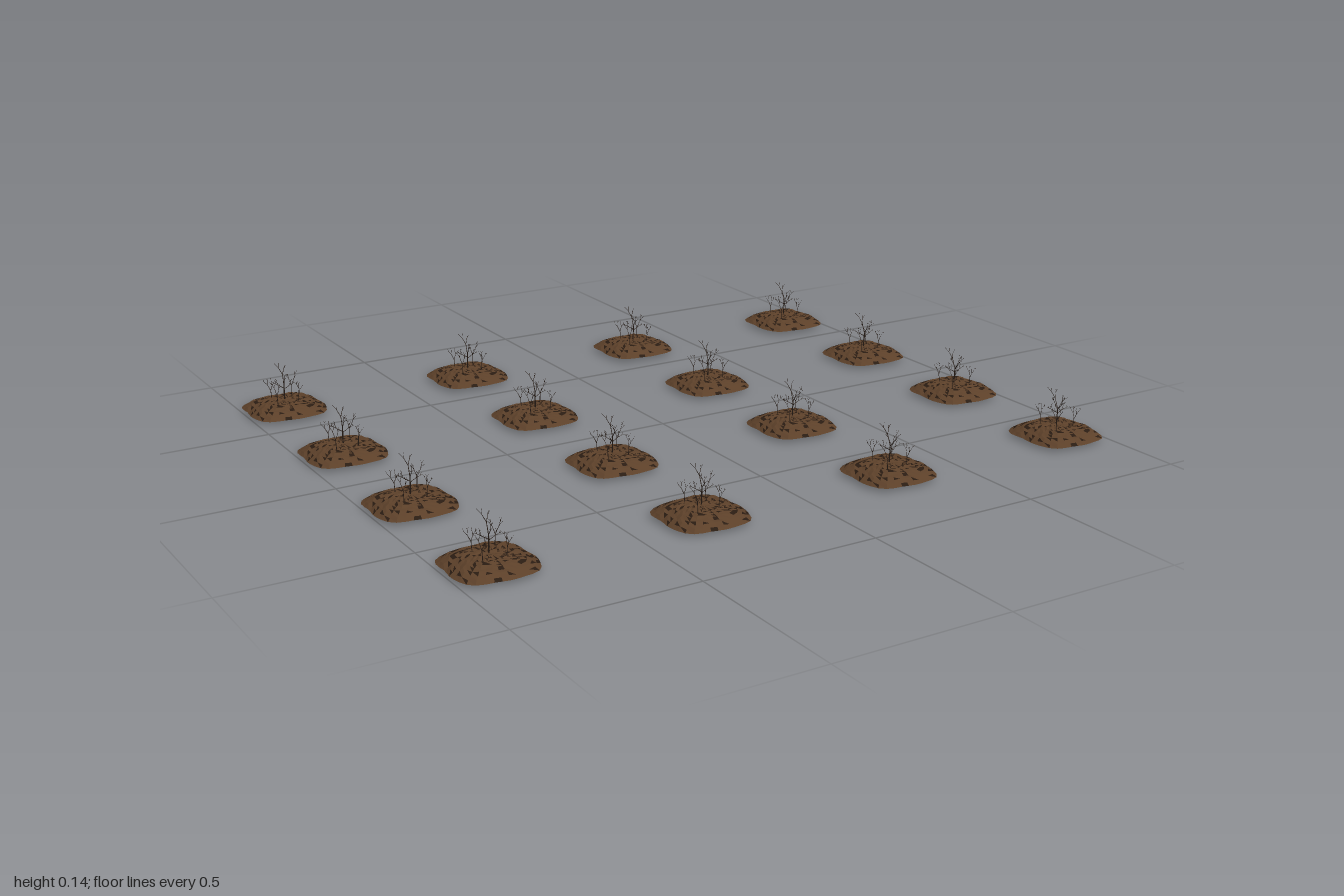
import * as THREE from 'three';
import { mergeGeometries } from 'three/addons/utils/BufferGeometryUtils.js';

const SEGS = 36, HALF = 0.113;

function seeded(seed) {
  return () => {
    seed = (seed * 16807) % 2147483647;
    return seed / 2147483647;
  };
}

// Rounded-square plan with a slightly ragged edge
function planRadius(a) {
  const n = 3.5;
  const r = HALF / Math.pow(Math.abs(Math.cos(a)) ** n + Math.abs(Math.sin(a)) ** n, 1 / n);
  return r * (0.985 + 0.016 * Math.sin(5 * a + 1) + 0.014 * Math.sin(9 * a));
}

// Soil profile: sloping rim, then a gently domed crown
const profile = [[0, 0.038], [0.45, 0.036], [0.66, 0.031], [0.85, 0.022], [1, 0.01]];
function crownHeight(t) {
  let i = 1;
  while (i < profile.length - 1 && t > profile[i][0]) i++;
  const [t0, y0] = profile[i - 1], [t1, y1] = profile[i];
  return y0 + (y1 - y0) * (t - t0) / (t1 - t0);
}

// Rings from the centre outward; turn = 1 faces up, turn = -1 faces down
function makeRings(height, count, bump, turn) {
  const rnd = seeded(11), rings = [];
  for (let r = 0; r <= count; r++) {
    const t = r / count, ring = [];
    for (let s = 0; s < SEGS; s++) {
      const a = turn * s / SEGS * Math.PI * 2, R = planRadius(a) * t;
      const lift = r > 0 && r < count ? (rnd() - 0.5) * bump : 0;
      ring.push([Math.cos(a) * R, height(t) + lift, Math.sin(a) * R]);
    }
    rings.push(ring);
  }
  return rings;
}

// Skin the rings, keeping only the triangles that pick() accepts
function skin(rings, pick) {
  const pos = [];
  const tri = (a, b, c) => { if (pick()) pos.push(...a, ...b, ...c); };
  for (let r = 0; r < rings.length - 1; r++) {
    for (let s = 0; s < SEGS; s++) {
      const n = (s + 1) % SEGS;
      const a = rings[r][s], b = rings[r][n], c = rings[r + 1][s], d = rings[r + 1][n];
      if (r > 0) tri(a, b, c);
      tri(b, d, c);
    }
  }
  const g = new THREE.BufferGeometry();
  g.setAttribute('position', new THREE.Float32BufferAttribute(pos, 3));
  g.computeVertexNormals();
  return g;
}

// One tapered twig between two points
function twig(from, to, r0, r1) {
  const dir = to.clone().sub(from);
  const g = new THREE.CylinderGeometry(r1, r0, dir.length(), 4, 1);
  g.applyQuaternion(new THREE.Quaternion().setFromUnitVectors(new THREE.Vector3(0, 1, 0), dir.normalize()));
  const mid = from.clone().add(to).multiplyScalar(0.5);
  return g.translate(mid.x, mid.y, mid.z);
}

// Bare branches that fork and thin out
function branch(parts, rnd, from, dir, len, rad, depth) {
  const to = from.clone().addScaledVector(dir, len);
  parts.push(twig(from, to, rad, rad * 0.7));
  if (depth === 0) return;
  const turn = rnd() * Math.PI * 2;
  for (let k = 0; k < 2; k++) {
    const a = turn + k * Math.PI + (rnd() - 0.5);
    const next = dir.clone().add(new THREE.Vector3(Math.cos(a) * 0.6, 0.25, Math.sin(a) * 0.6)).normalize();
    branch(parts, rnd, to, next, len * (0.55 + rnd() * 0.2), rad * 0.7, depth - 1);
  }
}

function makeShrub() {
  const rnd = seeded(77), parts = [], v = (x, y, z) => new THREE.Vector3(x, y, z);
  // Tall middle stem with a wide fork
  const fork = v(0, 0.083, 0.002);
  parts.push(twig(v(0, 0.03, 0), fork, 0.0021, 0.0016));
  branch(parts, rnd, fork, v(0.1, 0.8, -0.5).normalize(), 0.031, 0.0013, 2);
  branch(parts, rnd, fork, v(-0.15, 0.7, 0.7).normalize(), 0.022, 0.0012, 2);
  branch(parts, rnd, v(0, 0.068, 0), v(0.8, 0.5, 0.1).normalize(), 0.02, 0.001, 2);
  branch(parts, rnd, v(0, 0.072, 0), v(-0.8, 0.5, -0.1).normalize(), 0.02, 0.001, 2);
  // Short stems around it
  const stems = [[-0.033, 0.036, 0.034], [0.034, -0.036, 0.034], [0.03, 0.034, 0.027], [-0.026, -0.036, 0.029]];
  for (const [x, z, len] of stems) {
    branch(parts, rnd, v(x, 0.03, z), v(x * 2, 1, z).normalize(), len, 0.0012, 3);
  }
  return mergeGeometries(parts);
}

export function createModel() {
  const group = new THREE.Group();
  const mat = (color) => new THREE.MeshStandardMaterial({ color, flatShading: true });
  const soil = mat(0x5c4029), darkSoil = mat(0x2a1c12), bark = mat(0x241a14);

  // Crown is shared between brown soil and scattered dark cracks
  const crown = makeRings(crownHeight, 11, 0.004, 1);
  const split = (dark) => {
    const rnd = seeded(4242);
    return skin(crown, () => (rnd() < 0.2) === dark);
  };
  // Shallow dished underside, closing the rim
  const underside = makeRings((t) => 0.01 * t ** 4, 5, 0, -1);

  const parts = [
    ['soilMound', split(false), soil],
    ['soilCracks', split(true), darkSoil],
    ['moundUnderside', skin(underside, () => true), darkSoil],
    ['bareShrub', makeShrub(), bark],
  ];

  // Four by four field of identical planted mounds
  for (let i = 0; i < 4; i++) {
    for (let j = 0; j < 4; j++) {
      const plot = new THREE.Group();
      plot.name = `plantedMound_${i}_${j}`;
      for (const [name, geo, material] of parts) {
        const mesh = new THREE.Mesh(geo, material);
        mesh.name = name;
        plot.add(mesh);
      }
      plot.position.set((i - 1.5) * 0.591, 0, (j - 1.5) * 0.447);
      group.add(plot);
    }
  }
  return group;
}
